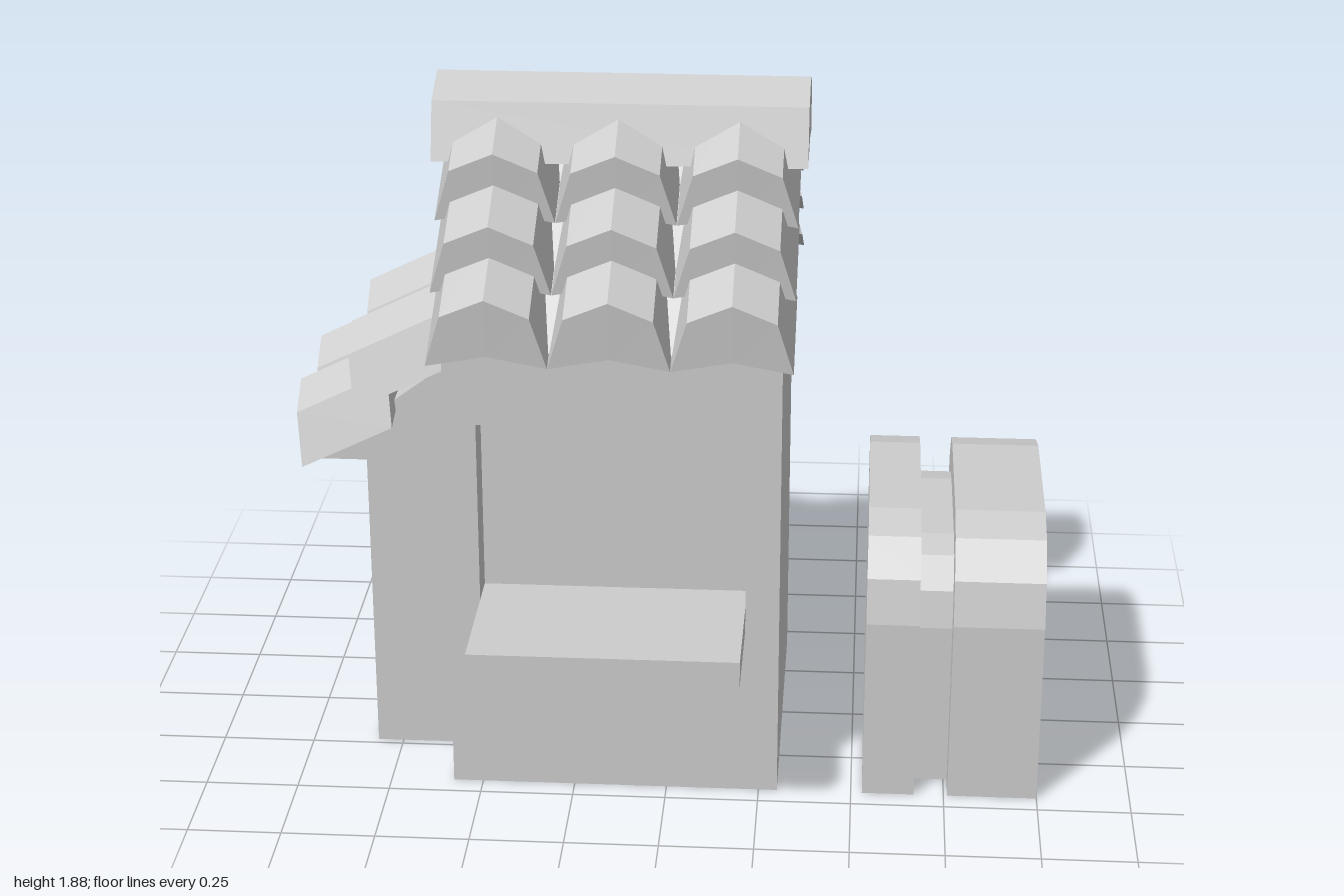
import * as THREE from 'three';

const stone = new THREE.MeshStandardMaterial({ color: 0xcccccc, side: THREE.DoubleSide });
stone.name = 'light grey';

// Flat-shaded loft through a list of cross-sections; caps fan out from the last point
function loft(rings, closed, capped) {
  const pos = [];
  const tri = (...pts) => pts.forEach((p) => pos.push(...p));
  const n = rings[0].length;
  for (let r = 0; r < rings.length - 1; r++) {
    const a = rings[r], b = rings[r + 1];
    for (let i = 0; i < (closed ? n : n - 1); i++) {
      const j = (i + 1) % n;
      tri(a[i], a[j], b[j]);
      tri(a[i], b[j], b[i]);
    }
  }
  if (capped) {
    const a = rings[0], b = rings[rings.length - 1];
    for (let i = 0; i < n - 2; i++) {
      tri(a[n - 1], a[i + 1], a[i]);
      tri(b[n - 1], b[i], b[i + 1]);
    }
  }
  const g = new THREE.BufferGeometry();
  g.setAttribute('position', new THREE.Float32BufferAttribute(pos, 3));
  g.computeVertexNormals();
  return g;
}

// Place a [z, y] profile at a given x
const atX = (profile, x) => profile.map(([z, y]) => [x, y, z]);

// Flat wall with an optional rectangular opening [x0, y0, x1, y1]
function wall(points, hole) {
  const shape = new THREE.Shape(points.map((p) => new THREE.Vector2(...p)));
  if (hole) {
    const [x0, y0, x1, y1] = hole;
    shape.holes.push(new THREE.Path([[x0, y0], [x0, y1], [x1, y1], [x1, y0]]
      .map((p) => new THREE.Vector2(...p))));
  }
  return new THREE.ShapeGeometry(shape);
}

// Window niche behind an opening: a box without its front
function niche([x0, y0, x1, y1], depth) {
  const g = new THREE.BoxGeometry(x1 - x0, y1 - y0, depth);
  const idx = Array.from(g.index.array);
  idx.splice(24, 6);
  g.setIndex(idx);
  g.clearGroups();
  return g.translate((x0 + x1) / 2, (y0 + y1) / 2, -depth / 2);
}

function box(x0, x1, y0, y1, z0, z1) {
  return new THREE.BoxGeometry(x1 - x0, y1 - y0, z1 - z0)
    .translate((x0 + x1) / 2, (y0 + y1) / 2, (z0 + z1) / 2);
}

export function createModel() {
  const model = new THREE.Group();
  model.name = 'kiosk';
  const add = (name, geometry, parent = model) => {
    const m = new THREE.Mesh(geometry, stone);
    m.name = name;
    parent.add(m);
    return m;
  };

  // Main body: open-bottomed shell with a gable at each end
  const L = -0.58, R = 0.3, D = 0.44, EAVE = 1.26, TOP = 1.71;
  const gable = [[-D, 0], [D, 0], [D, EAVE], [0, TOP], [-D, EAVE]];
  add('leftGable', wall(gable).rotateY(Math.PI / 2).translate(R, 0, 0));
  add('rightGable', wall(gable).rotateY(-Math.PI / 2).translate(L, 0, 0));
  const slope = [[-D, EAVE], [0, TOP], [D, EAVE]];
  add('roofDeck', loft([atX(slope, L), atX(slope, R)], false, false));

  // Front and back walls, each with a window niche and a counter
  const opening = [-0.495, 0.48, 0.21, 1.055];
  for (const s of [1, -1]) {
    const side = s > 0 ? 'front' : 'back';
    add(side + 'Wall', wall([[L, 0], [R, 0], [R, EAVE], [L, EAVE]], opening).translate(0, 0, s * D));
    const n = niche(opening, 0.1);
    if (s < 0) n.rotateY(Math.PI).translate(opening[0] + opening[2], 0, 0);
    add(side + 'Window', n.translate(0, 0, s * D));
    add(side + 'Counter', box(-0.495, 0.21, 0.48, 0.55, Math.min(s * 0.342, s * 0.755), Math.max(s * 0.342, s * 0.755)));
  }

  // Side annex with its own window and small canopy
  const AX = -0.82, AZ = 0.23;
  for (const z of [AZ, -AZ]) {
    const g = wall([[AX, 0], [L, 0], [L, 1.15], [AX, 0.97]]);
    if (z < 0) g.index.array.reverse();
    g.computeVertexNormals();
    add('annexWall', g.translate(0, 0, z));
  }
  const annexHole = [-0.165, 0.48, 0.165, 0.9];
  add('annexEnd', wall([[-AZ, 0], [AZ, 0], [AZ, 0.97], [-AZ, 0.97]], annexHole)
    .rotateY(-Math.PI / 2).translate(AX, 0, 0));
  add('annexWindow', niche(annexHole, 0.1).rotateY(-Math.PI / 2).translate(AX, 0, 0));
  add('annexDeck', loft([[[AX, 0.97, AZ], [L, 1.15, AZ]], [[AX, 0.97, -AZ], [L, 1.15, -AZ]]], false, false));
  add('annexCanopy', box(-0.98, AX + 0.098, 0.825, 0.898, -0.164, 0.164));

  // Faceted roof tile, lower end facing +z
  const tileEnd = [[-0.157, 0, 0], [-0.115, 0.14, 0.015], [0, 0.19, 0.022],
    [0.115, 0.14, 0.015], [0.157, 0, 0], [0, 0.03, 0.003]];
  const tileGeometry = loft([tileEnd, tileEnd.map(([x, y, z]) => [x, y + 0.12, z - 0.245])], true, true);
  const tile = (name, x, y, z, turn) => {
    const m = add(name, tileGeometry);
    m.position.set(x, y, z);
    m.rotation.y = turn;
  };
  for (let row = 0; row < 3; row++) {
    for (let col = 0; col < 3; col++) {
      const x = -0.458 + col * 0.315, y = 1.235 + row * 0.153, z = 0.485 - row * 0.125;
      tile('frontRoofTile', x, y, z, 0);
      tile('backRoofTile', x, y, -z, Math.PI);
    }
  }
  for (let row = 0; row < 2; row++) {
    for (const z of [-0.157, 0.157]) {
      tile('annexRoofTile', -0.98 + row * 0.145, 0.865 + row * 0.17, z, -Math.PI / 2);
    }
  }

  // Ridge cap
  const ridge = [[-0.17, 1.68], [-0.12, 1.83], [0, 1.877], [0.12, 1.83], [0.17, 1.68], [0, 1.71]];
  add('ridgeCap', loft([atX(ridge, -0.63), atX(ridge, 0.35)], true, true));

  // Freestanding arched block with a groove, open underneath
  const half = (pts) => [...pts.map(([z, y]) => [-z, y]), ...pts.slice().reverse()];
  const big = half([[0.44, 0], [0.44, 0.51], [0.412, 0.63], [0.335, 0.72], [0.22, 0.75]]);
  const small = half([[0.352, 0], [0.352, 0.46], [0.33, 0.56], [0.275, 0.64], [0.18, 0.66]]);
  add('archedBlock', loft([
    atX(big, 0.53), atX(big, 0.67), atX(small, 0.67),
    atX(small, 0.76), atX(big, 0.76), atX(big, 1),
  ], false, true));

  return model;
}
